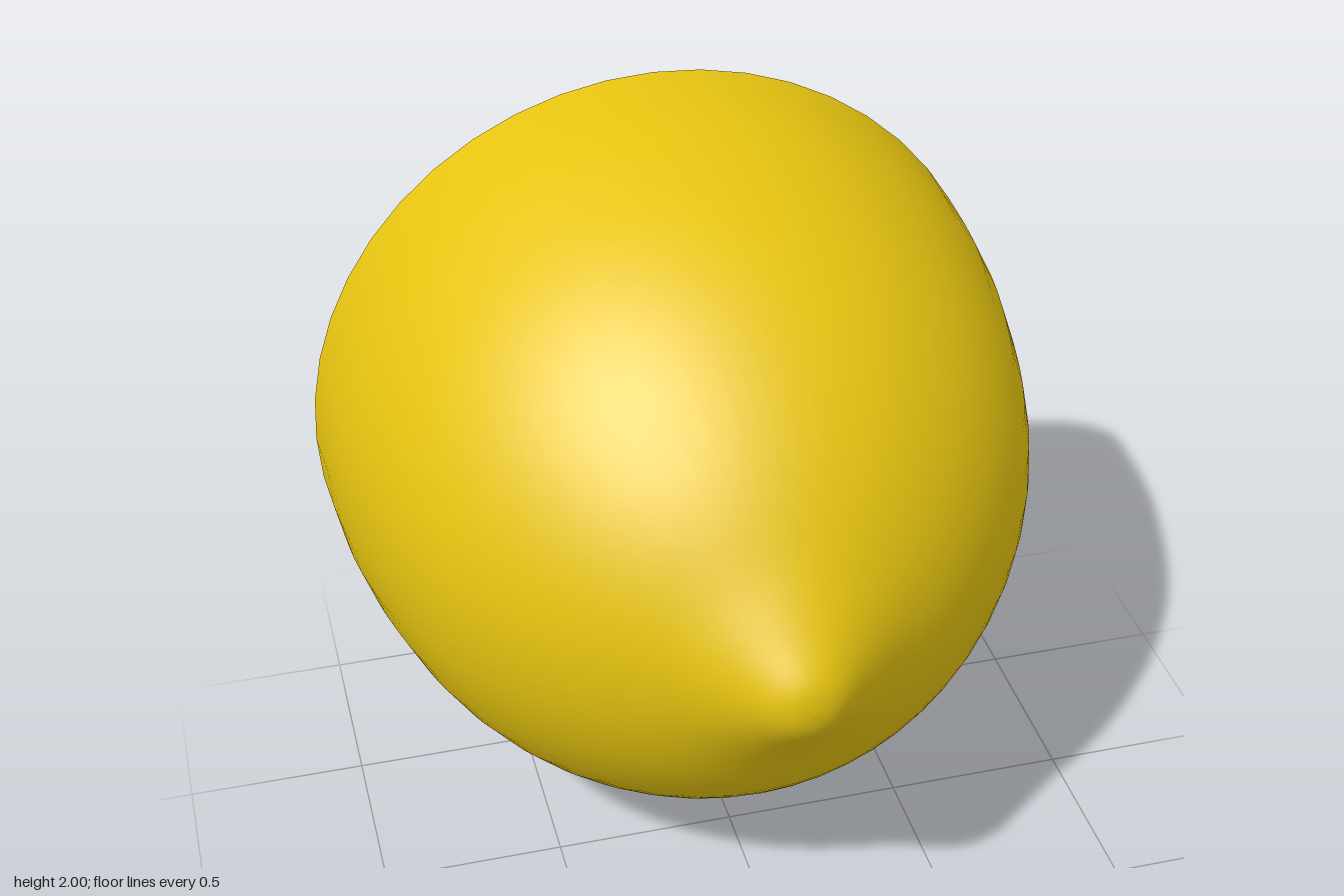
import * as THREE from 'three';

const rindMat = new THREE.MeshStandardMaterial({ color: 0xe6c410 });
rindMat.name = 'rind yellow';
const pulpMat = new THREE.MeshStandardMaterial({ color: 0xe2c20f });
pulpMat.name = 'pulp yellow';
const pithMat = new THREE.MeshStandardMaterial({ color: 0xe2dcb8 });
pithMat.name = 'pith cream';

const CUT_Z = -0.768;
const PITH_R = 0.895, PULP_R = 0.825, SEGMENTS = 8, MEMBRANE = 0.024;
const OFFSET = new THREE.Vector2(-0.01, 0.02); // core sits slightly off centre

function circlePoints(r, n, centre = new THREE.Vector2()) {
  return Array.from({ length: n }, (_, i) => {
    const a = (i / n) * Math.PI * 2;
    return new THREE.Vector2(Math.cos(a) * r, Math.sin(a) * r).add(centre);
  });
}

// Rounded wedge of pulp lying between two membranes
function wedgePoints(angle) {
  const a = Math.PI / SEGMENTS;
  const edge = (t, s) => [t * Math.cos(a) + MEMBRANE * Math.sin(a), s * (t * Math.sin(a) - MEMBRANE * Math.cos(a))];
  const arcA = a - 0.15;
  const shape = new THREE.Shape();
  shape.moveTo(...edge(0.1, -1));
  shape.lineTo(...edge(0.7, -1));
  shape.quadraticCurveTo(...edge(0.815, -1), PULP_R * Math.cos(arcA), -PULP_R * Math.sin(arcA));
  shape.absarc(0, 0, PULP_R, -arcA, arcA, false);
  shape.quadraticCurveTo(...edge(0.815, 1), ...edge(0.7, 1));
  shape.lineTo(...edge(0.1, 1));
  shape.quadraticCurveTo(0.075, 0, ...edge(0.1, -1));
  const origin = new THREE.Vector2();
  return shape.getPoints(8).map((p) => p.rotateAround(origin, angle).add(OFFSET));
}

// Flat piece of the cut face, turned to face the back
function cutPiece(name, outline, holes, material) {
  const shape = new THREE.Shape(outline);
  shape.holes = holes.map((h) => new THREE.Path(h));
  const mesh = new THREE.Mesh(new THREE.ShapeGeometry(shape), material);
  mesh.rotation.y = Math.PI;
  mesh.position.z = CUT_Z;
  mesh.name = name;
  return mesh;
}

export function createModel() {
  const group = new THREE.Group();
  group.name = 'halfLemon';

  // Peel: rounded body narrowing to a blunt nipple at the front
  const profile = [
    [1, CUT_Z], [0.985, -0.52], [0.945, -0.3], [0.89, -0.1], [0.81, 0.08], [0.705, 0.24],
    [0.58, 0.38], [0.45, 0.49], [0.3, 0.59], [0.18, 0.68], [0.1, 0.745], [0.05, 0.77], [0, 0.777],
  ].map(([r, z]) => new THREE.Vector2(r, z));
  const curve = new THREE.SplineCurve(profile);
  const points = curve.getPoints(36);
  points[points.length - 1].x = 0;
  const peel = new THREE.Mesh(new THREE.LatheGeometry(points, 48).rotateX(Math.PI / 2), rindMat);
  peel.name = 'peel';
  group.add(peel);

  // Cut face: rind edge, pith with membranes, pulp segments
  const pithEdge = circlePoints(PITH_R, 64, OFFSET);
  const wedges = Array.from({ length: SEGMENTS }, (_, i) => wedgePoints(((i + 0.5) / SEGMENTS) * Math.PI * 2));
  group.add(cutPiece('rindEdge', circlePoints(1, 48), [pithEdge], rindMat));
  group.add(cutPiece('pith', pithEdge, wedges, pithMat));
  wedges.forEach((w, i) => group.add(cutPiece(`pulpSegment${i + 1}`, w, [], pulpMat)));

  // Slight turn of the fruit
  group.rotation.y = 0.008;
  group.position.y = 1;
  const model = new THREE.Group();
  model.name = 'lemon';
  model.add(group);
  return model;
}
